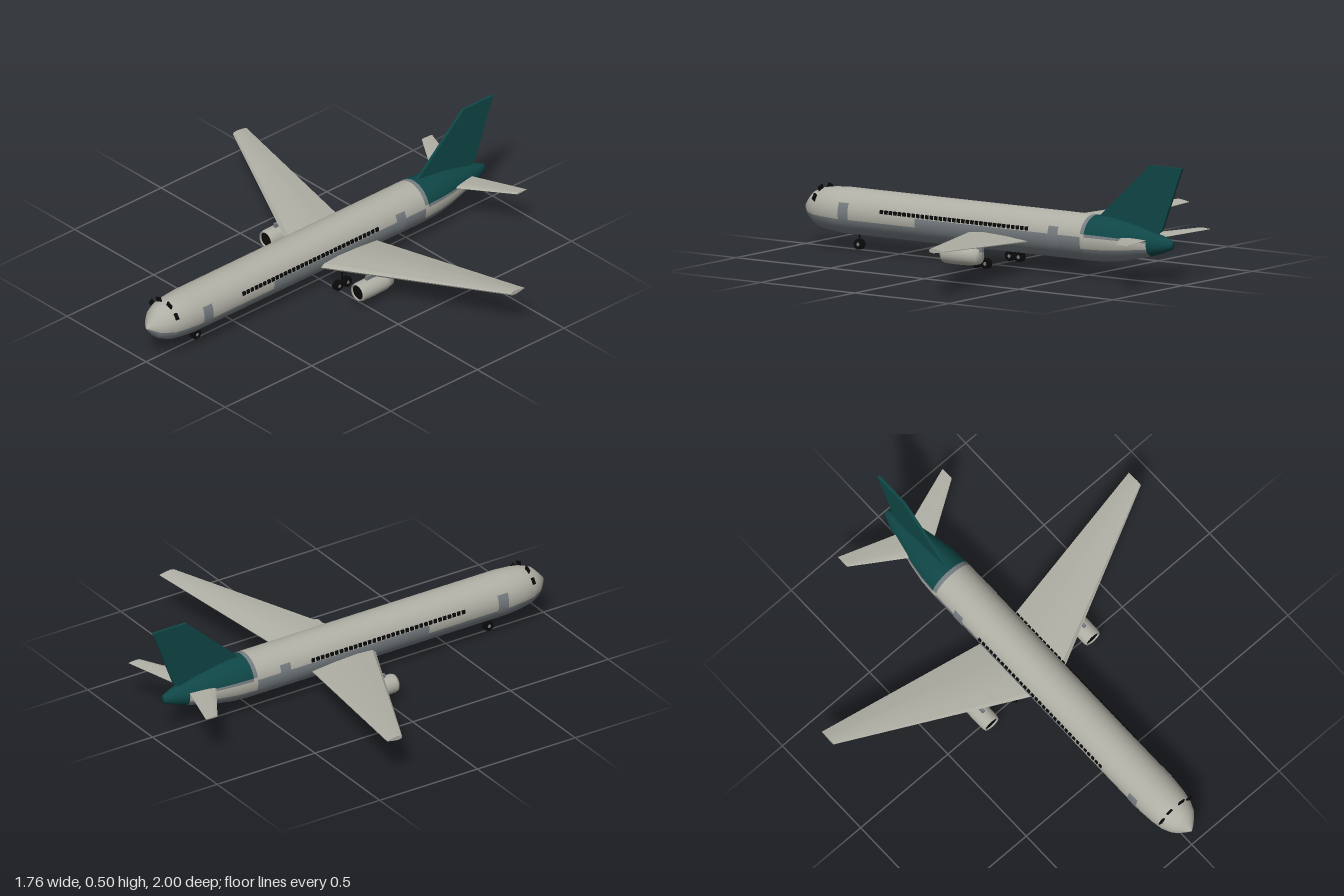
import * as THREE from 'three';
import { toCreasedNormals } from 'three/addons/utils/BufferGeometryUtils.js';

const mat = (name, color) => new THREE.MeshStandardMaterial({ name, color });

// Skin a list of rings; pick(i, j) gives the material index of each quad
function loft(rings, flip = false, pick = () => 0) {
  const n = rings[0].length, buckets = [];
  for (let i = 0; i < rings.length - 1; i++) {
    for (let j = 0; j < n; j++) {
      const k = (j + 1) % n;
      const a = i * n + j, b = a + n, c = i * n + k, d = c + n;
      const m = pick(i, j);
      (buckets[m] ??= []).push(...(flip ? [a, b, c, c, b, d] : [a, c, b, c, d, b]));
    }
  }
  const geo = new THREE.BufferGeometry();
  geo.setAttribute('position', new THREE.Float32BufferAttribute(rings.flat(2), 3));
  const index = [];
  buckets.forEach((list, m) => {
    geo.addGroup(index.length, list.length, m);
    for (const v of list) index.push(v);
  });
  geo.setIndex(index);
  geo.computeVertexNormals();
  return geo;
}

// Body stations: z, half width, top y, bottom y
const STATIONS = [
  [1.0, 0.001, 0.166, 0.164], [0.985, 0.022, 0.187, 0.143], [0.96, 0.05, 0.215, 0.112],
  [0.94, 0.067, 0.235, 0.098], [0.9, 0.085, 0.252, 0.08], [0.85, 0.094, 0.26, 0.072],
  [0.78, 0.1, 0.265, 0.065], [0.35, 0.1, 0.265, 0.065], [-0.525, 0.1, 0.265, 0.065],
  [-0.545, 0.1, 0.265, 0.065], [-0.62, 0.096, 0.262, 0.069], [-0.7, 0.083, 0.25, 0.08],
  [-0.78, 0.065, 0.234, 0.098], [-0.84, 0.05, 0.218, 0.112], [-0.9, 0.032, 0.203, 0.13],
  [-0.945, 0.015, 0.186, 0.149], [-0.946, 0.0005, 0.168, 0.167],
];
const SIDES = 48;

// Paint scheme: 0 light, 1 grey, 2 teal; deg is measured down from the crown
function paint(z, deg) {
  if (z < -0.84) return 2;
  if (z < -0.545) return deg < 75 ? 2 : deg < 82 ? 1 : deg < 112 ? 0 : 1;
  if (z < -0.525) return deg < 75 ? 1 : deg < 112 ? 0 : 1;
  if (z < 0.35) return deg < 82 ? 0 : 1;
  return deg < 105 ? 0 : 1;
}

function bodyGeometry() {
  const rings = STATIONS.map(([z, rx, top, bottom]) => Array.from({ length: SIDES }, (_, j) => {
    const t = (j / SIDES) * Math.PI * 2;
    return [Math.sin(t) * rx, (top + bottom) / 2 + Math.cos(t) * (top - bottom) / 2, z];
  }));
  return loft(rings, false, (i, j) => {
    const deg = ((j + 0.5) / SIDES) * 360;
    return paint((STATIONS[i][0] + STATIONS[i + 1][0]) / 2, Math.min(deg, 360 - deg));
  });
}

// Tapered aerofoil panel between root and tip sections
const FOIL = [[0, 0], [0.05, 0.35], [0.3, 0.5], [0.65, 0.35], [1, 0.05],
  [1, -0.05], [0.65, -0.3], [0.3, -0.5], [0.05, -0.35]];
function wingGeometry(side, sections) {
  const rings = sections.map(({ x, lead, trail, y, thick }) =>
    FOIL.map(([t, h]) => [side * x, y + h * thick, lead + (trail - lead) * t]));
  const tip = sections[sections.length - 1];
  rings.push(FOIL.map(() => [side * tip.x, tip.y, (tip.lead + tip.trail) / 2]));
  return toCreasedNormals(loft(rings, side > 0), 0.6);
}

export function createModel() {
  const root = new THREE.Group();
  root.name = 'airliner';
  const light = mat('warm light grey', 0xb0afa5);
  const grey = mat('blue grey', 0x757c80);
  const teal = mat('dark teal', 0x0f4646);
  const black = mat('black', 0x0a0a0a);

  const add = (name, geo, material, x = 0, y = 0, z = 0, parent = root) => {
    const mesh = new THREE.Mesh(geo, material);
    mesh.name = name;
    mesh.position.set(x, y, z);
    parent.add(mesh);
    return mesh;
  };

  add('fuselage', bodyGeometry(), [light, grey, teal]);

  // Swept fin
  const fin = new THREE.Shape([[0.55, 0.25], [0.83, 0.505], [1.0, 0.505], [0.895, 0.23], [0.86, 0.2], [0.6, 0.22]]
    .map(([a, b]) => new THREE.Vector2(a, b)));
  const finGeo = new THREE.ExtrudeGeometry(fin, { depth: 0.012, bevelEnabled: false });
  finGeo.translate(0, 0, -0.006).rotateY(Math.PI / 2);
  add('tailFin', finGeo, teal);

  // Cockpit panes standing on the nose crown
  for (const deg of [-56, -21, 21, 56]) {
    const t = THREE.MathUtils.degToRad(deg);
    const pane = add('cockpitPane', new THREE.BoxGeometry(0.03, 0.022, 0.006), black,
      Math.sin(t) * 0.094, 0.166 + Math.cos(t) * 0.094, 0.896);
    pane.rotation.z = -t;
  }

  const wheel = new THREE.CylinderGeometry(0.023, 0.023, 0.009, 20).rotateZ(Math.PI / 2);
  const hub = new THREE.CylinderGeometry(0.008, 0.008, 0.011, 12).rotateZ(Math.PI / 2);
  const strut = (h) => new THREE.CylinderGeometry(0.005, 0.005, h, 10);
  const wheelPair = (x, z, parent) => {
    for (const dx of [-0.007, 0.007]) {
      add('wheel', wheel, black, x + dx, 0.023, z, parent);
      add('wheelHub', hub, grey, x + dx, 0.023, z, parent);
    }
  };

  // Nose gear
  const noseGear = new THREE.Group();
  noseGear.name = 'noseGear';
  root.add(noseGear);
  add('noseStrut', strut(0.06), black, 0, 0.05, 0.715, noseGear);
  wheelPair(0, 0.715, noseGear);

  // Nacelle: outer skin, lip and inner duct
  const nacelle = new THREE.LatheGeometry([
    [0.031, -0.01], [0.033, 0.045], [0.038, 0.047], [0.042, 0.035], [0.043, -0.03],
    [0.041, -0.1], [0.032, -0.138], [0.001, -0.138],
  ].reverse().map(([r, z]) => new THREE.Vector2(r, z)), 28).rotateX(Math.PI / 2);
  nacelle.scale(1, 1, 1);
  const nacelleMat = light;
  nacelleMat.side = THREE.DoubleSide;

  const windowGeo = new THREE.BoxGeometry(0.008, 0.016, 0.015);

  for (const side of [1, -1]) {
    const tag = side > 0 ? 'left' : 'right';

    add(tag + 'Wing', wingGeometry(side, [
      { x: 0.05, lead: 0.1, trail: -0.237, y: 0.129, thick: 0.042 },
      { x: 0.88, lead: -0.305, trail: -0.382, y: 0.196, thick: 0.02 },
    ]), light);
    add(tag + 'Tailplane', wingGeometry(side, [
      { x: 0.03, lead: -0.695, trail: -0.835, y: 0.184, thick: 0.012 },
      { x: 0.3, lead: -0.866, trail: -0.925, y: 0.2, thick: 0.007 },
    ]), light);

    // Engine hung under the wing
    const engine = new THREE.Group();
    engine.name = tag + 'Engine';
    engine.position.set(side * 0.29, 0.081, 0);
    root.add(engine);
    add('nacelle', nacelle, nacelleMat, 0, 0, 0, engine);
    add('intake', new THREE.CircleGeometry(0.0335, 28), black, 0, 0, 0.04, engine);
    add('pylon', new THREE.BoxGeometry(0.012, 0.04, 0.15), grey, 0, 0.04, -0.08, engine);

    // Cabin windows
    for (let i = 0; i < 33; i++)
      add('cabinWindow', windowGeo, black, side * 0.0985, 0.19, 0.525 - i * 0.024);

    // Curved doors
    for (const z of [0.73, -0.383]) {
      const rings = [0.025, -0.025].map((dz) => dz + z);
      const arc = new THREE.CylinderGeometry(0.1025, 0.1025, 0.052, 8, 1, true,
        side * Math.PI / 2 - 0.47, 0.94);
      // Turn the arc so its axis lies along the body
      arc.rotateX(Math.PI / 2);
      const door = add(tag + 'Door', arc, grey, 0, 0.165, (rings[0] + rings[1]) / 2);
      door.material = grey;
      grey.side = THREE.DoubleSide;
    }

    // Main gear with two axles
    const gear = new THREE.Group();
    gear.name = tag + 'MainGear';
    root.add(gear);
    add('mainStrut', strut(0.1), black, side * 0.12, 0.08, -0.022, gear);
    add('bogie', new THREE.BoxGeometry(0.006, 0.008, 0.05), black, side * 0.12, 0.025, -0.022, gear);
    wheelPair(side * 0.12, 0.002, gear);
    wheelPair(side * 0.12, -0.047, gear);
  }
  return root;
}
